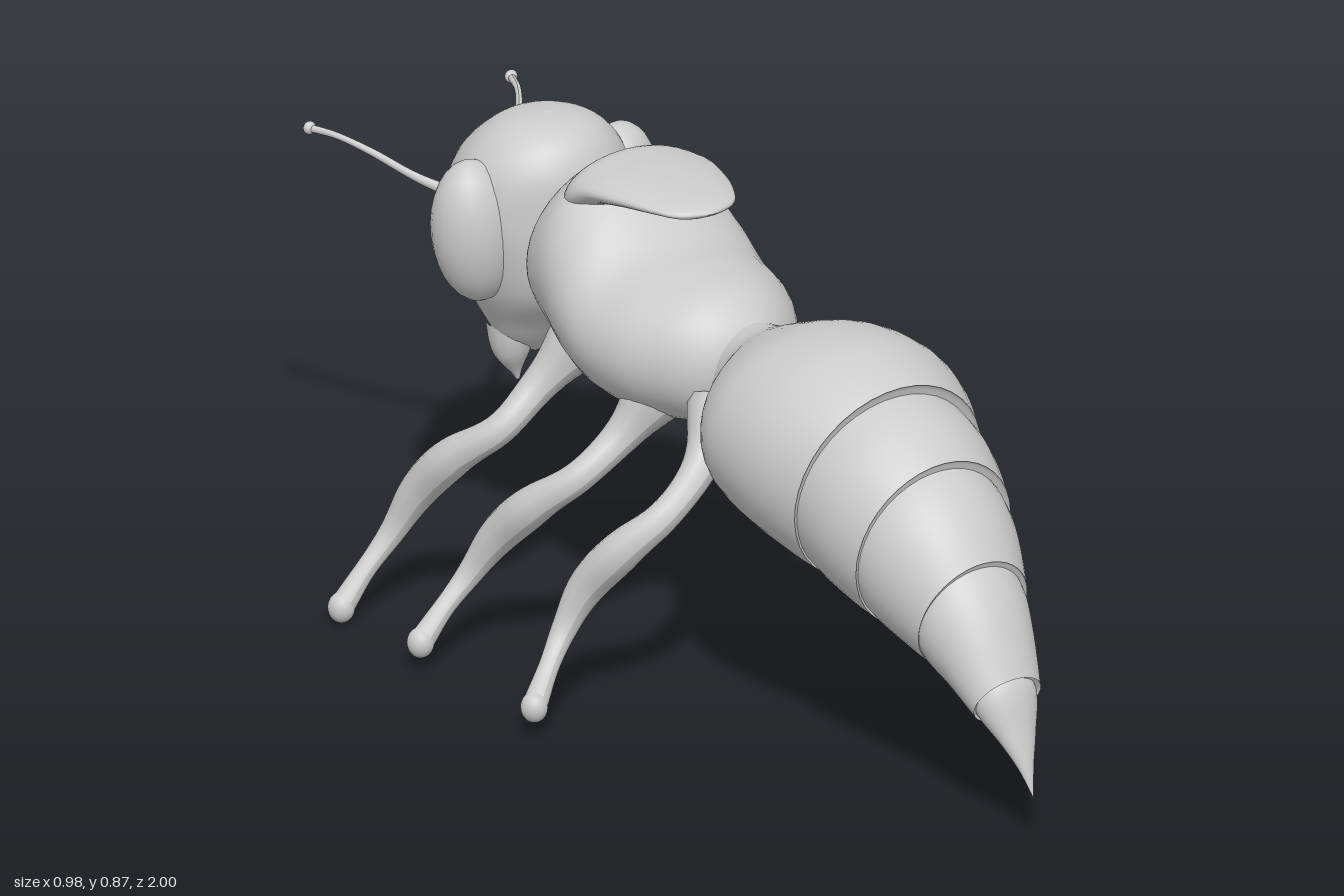
import * as THREE from 'three';

const grey = new THREE.MeshStandardMaterial({ color: 0xcccccc });

function add(parent, name, geometry) {
  const mesh = new THREE.Mesh(geometry, grey);
  mesh.name = name;
  parent.add(mesh);
  return mesh;
}

// Catmull-Rom blend of four values
const blend = (p, q, r, s, t) =>
  0.5 * (2 * q + (r - p) * t + (2 * p - 5 * q + 4 * r - s) * t * t + (3 * q - p - 3 * r + s) * t * t * t);

// Smooth skin over elliptical sections [zA, yA, zB, yB, halfWidth]; A and B are opposite rim points
function loft(sections, steps = 6, sides = 40) {
  const pos = [], index = [];
  const n = sections.length - 1;
  const rings = n * steps;
  const at = i => sections[Math.min(Math.max(i, 0), n)];
  for (let k = 0; k <= rings; k++) {
    const i = Math.min(Math.floor(k / steps), n - 1), t = k / steps - i;
    const [za, ya, zb, yb, w] = at(i).map((q, c) => blend(at(i - 1)[c], q, at(i + 1)[c], at(i + 2)[c], t));
    for (let j = 0; j < sides; j++) {
      const a = (j / sides) * Math.PI * 2, c = Math.cos(a) / 2;
      pos.push(Math.sin(a) * Math.max(w, 0), (ya + yb) / 2 + c * (ya - yb), (za + zb) / 2 + c * (za - zb));
    }
  }
  for (let k = 0; k < rings; k++) {
    for (let j = 0; j < sides; j++) {
      const p = k * sides + j, q = k * sides + (j + 1) % sides;
      index.push(p, p + sides, q, q, p + sides, q + sides);
    }
  }
  const g = new THREE.BufferGeometry();
  g.setAttribute('position', new THREE.Float32BufferAttribute(pos, 3));
  g.setIndex(index);
  g.computeVertexNormals();
  return g;
}

// Section shrunk about its own centre, used to roll a plate's rim inward
function shrink([za, ya, zb, yb, w], s) {
  const z = (za + zb) / 2, y = (ya + yb) / 2;
  return [z + (za - z) * s, y + (ya - y) * s, z + (zb - z) * s, y + (yb - y) * s, w * s];
}

// Tube with radii spaced evenly along its length
function limb(points, radii, segments = 40, sides = 14) {
  const curve = new THREE.CatmullRomCurve3(points.map(p => new THREE.Vector3(...p)));
  const g = new THREE.TubeGeometry(curve, segments, 1, sides);
  const pos = g.attributes.position, v = new THREE.Vector3();
  const n = radii.length - 1;
  for (let i = 0; i <= segments; i++) {
    const c = curve.getPointAt(i / segments);
    const f = (i / segments) * n, k = Math.min(Math.floor(f), n - 1);
    const at = m => radii[Math.min(Math.max(m, 0), n)];
    const r = blend(at(k - 1), at(k), at(k + 1), at(k + 2), f - k);
    for (let j = 0; j <= sides; j++) {
      const m = i * (sides + 1) + j;
      v.fromBufferAttribute(pos, m).sub(c).multiplyScalar(r).add(c);
      pos.setXYZ(m, v.x, v.y, v.z);
    }
  }
  g.computeVertexNormals();
  return g;
}

function ball(parent, name, [x, y, z], rx, ry = rx, rz = rx) {
  const m = add(parent, name, new THREE.SphereGeometry(1, 24, 16));
  m.position.set(x, y, z);
  m.scale.set(rx, ry, rz);
  return m;
}

export function createModel() {
  const model = new THREE.Group();
  model.name = 'insect';

  // Abdomen: overlapping plates, each emerging from under the one before
  const abdomen = new THREE.Group();
  abdomen.name = 'abdomen';
  model.add(abdomen);
  const plates = [
    [[0.08, 0.68, 0.08, 0.48, 0.08], [0.15, 0.69, 0.15, 0.45, 0.11], [0.22, 0.72, 0.19, 0.425, 0.175],
      [0.31, 0.752, 0.26, 0.395, 0.222], [0.42, 0.763, 0.34, 0.37, 0.232], [0.5, 0.75, 0.42, 0.353, 0.222],
      [0.57, 0.725, 0.49, 0.335, 0.197]],
    [[0.5, 0.71, 0.44, 0.36, 0.18], [0.57, 0.703, 0.5, 0.333, 0.186], [0.64, 0.678, 0.57, 0.315, 0.182],
      [0.71, 0.632, 0.64, 0.298, 0.163]],
    [[0.64, 0.63, 0.6, 0.315, 0.145], [0.71, 0.61, 0.65, 0.297, 0.153], [0.78, 0.56, 0.7, 0.282, 0.14],
      [0.838, 0.488, 0.765, 0.263, 0.114]],
    [[0.78, 0.51, 0.72, 0.285, 0.1], [0.84, 0.463, 0.775, 0.26, 0.107], [0.89, 0.4, 0.825, 0.237, 0.092],
      [0.94, 0.305, 0.885, 0.203, 0.07]],
  ];
  for (const plate of plates) {
    const rim = plate[plate.length - 1];
    add(abdomen, 'abdomenPlate', loft([...plate, shrink(rim, 0.94), shrink(rim, 0.5)]));
  }
  add(abdomen, 'stinger', loft([[0.89, 0.33, 0.85, 0.235, 0.055], [0.94, 0.287, 0.89, 0.203, 0.06],
    [0.967, 0.21, 0.935, 0.17, 0.036], [0.985, 0.15, 0.97, 0.132, 0.015], [1, 0.09, 1, 0.09, 0]]));

  // Thorax, tapering into the waist behind and the neck ahead
  add(model, 'thorax', loft([
    [-0.5, 0.7, -0.5, 0.55, 0.08], [-0.44, 0.715, -0.44, 0.54, 0.11], [-0.41, 0.75, -0.41, 0.53, 0.135],
    [-0.37, 0.82, -0.365, 0.51, 0.165], [-0.3, 0.862, -0.3, 0.48, 0.187], [-0.22, 0.82, -0.22, 0.455, 0.203],
    [-0.14, 0.755, -0.14, 0.45, 0.203], [-0.05, 0.737, -0.05, 0.455, 0.187], [0.03, 0.722, 0.03, 0.47, 0.145],
    [0.1, 0.685, 0.1, 0.48, 0.095], [0.17, 0.68, 0.17, 0.47, 0.085]]));

  // Overhanging flap on the back of the thorax
  add(model, 'backFlap', loft([
    [-0.36, 0.78, -0.36, 0.76, 0.05], [-0.31, 0.866, -0.31, 0.74, 0.125], [-0.24, 0.876, -0.24, 0.795, 0.13],
    [-0.16, 0.873, -0.16, 0.818, 0.113], [-0.09, 0.865, -0.09, 0.828, 0.088], [-0.045, 0.856, -0.045, 0.832, 0.057],
    [-0.023, 0.844, -0.023, 0.844, 0]]));

  // Head, built upward from chin to crown
  const head = new THREE.Group();
  head.name = 'head';
  model.add(head);
  add(head, 'skull', loft([
    [-0.59, 0.385, -0.59, 0.385, 0], [-0.635, 0.42, -0.545, 0.42, 0.065], [-0.675, 0.47, -0.505, 0.47, 0.1],
    [-0.715, 0.54, -0.445, 0.54, 0.135], [-0.745, 0.63, -0.425, 0.63, 0.163], [-0.74, 0.7, -0.425, 0.7, 0.168],
    [-0.712, 0.77, -0.43, 0.77, 0.15], [-0.665, 0.82, -0.455, 0.82, 0.112], [-0.62, 0.846, -0.495, 0.846, 0.065],
    [-0.555, 0.856, -0.555, 0.856, 0]]));

  // Paired head parts
  for (const s of [1, -1]) {
    ball(head, 'eye', [s * 0.148, 0.66, -0.56], 0.08, 0.135, 0.072).rotation.z = -s * 0.12;
    const jaw = [[s * 0.045, 0.45, -0.6], [s * 0.045, 0.395, -0.598], [s * 0.036, 0.34, -0.592]];
    add(head, 'mandible', limb(jaw, [0.045, 0.034, 0.004], 16));
    const feeler = [[s * 0.02, 0.64, -0.72], [s * 0.045, 0.632, -0.77], [s * 0.095, 0.655, -0.82],
      [s * 0.155, 0.698, -0.88], [s * 0.19, 0.717, -0.935], [s * 0.212, 0.718, -0.99]];
    add(head, 'antenna', limb(feeler, [0.024, 0.012, 0.008, 0.007, 0.006, 0.007], 40, 10));
    ball(head, 'antennaTip', feeler[5], 0.012, 0.012, 0.01);
  }

  // Legs: three mirrored pairs, thick at the hip and shin
  const legs = {
    frontLeg: [[0.09, 0.54, -0.3], [0.17, 0.45, -0.325], [0.245, 0.385, -0.33], [0.295, 0.32, -0.4],
      [0.322, 0.24, -0.47], [0.36, 0.15, -0.505], [0.42, 0.085, -0.507], [0.465, 0.033, -0.505]],
    middleLeg: [[0.09, 0.52, -0.06], [0.16, 0.435, -0.08], [0.24, 0.375, -0.09], [0.29, 0.315, -0.15],
      [0.32, 0.235, -0.225], [0.36, 0.155, -0.26], [0.42, 0.1, -0.257], [0.465, 0.055, -0.252]],
    hindLeg: [[0.06, 0.53, 0.09], [0.14, 0.445, 0.14], [0.225, 0.385, 0.16], [0.285, 0.325, 0.125],
      [0.325, 0.24, 0.065], [0.365, 0.16, 0.052], [0.42, 0.1, 0.08], [0.463, 0.058, 0.108]],
  };
  for (const [name, path] of Object.entries(legs)) {
    for (const s of [1, -1]) {
      const leg = new THREE.Group();
      leg.name = name;
      const points = path.map(([x, y, z]) => [s * x, y, z]);
      add(leg, 'limb', limb(points, [0.06, 0.037, 0.029, 0.03, 0.037, 0.035, 0.025, 0.019, 0.023]));
      ball(leg, 'foot', points[7], 0.024, 0.028, 0.025);
      model.add(leg);
    }
  }
  return model;
}
